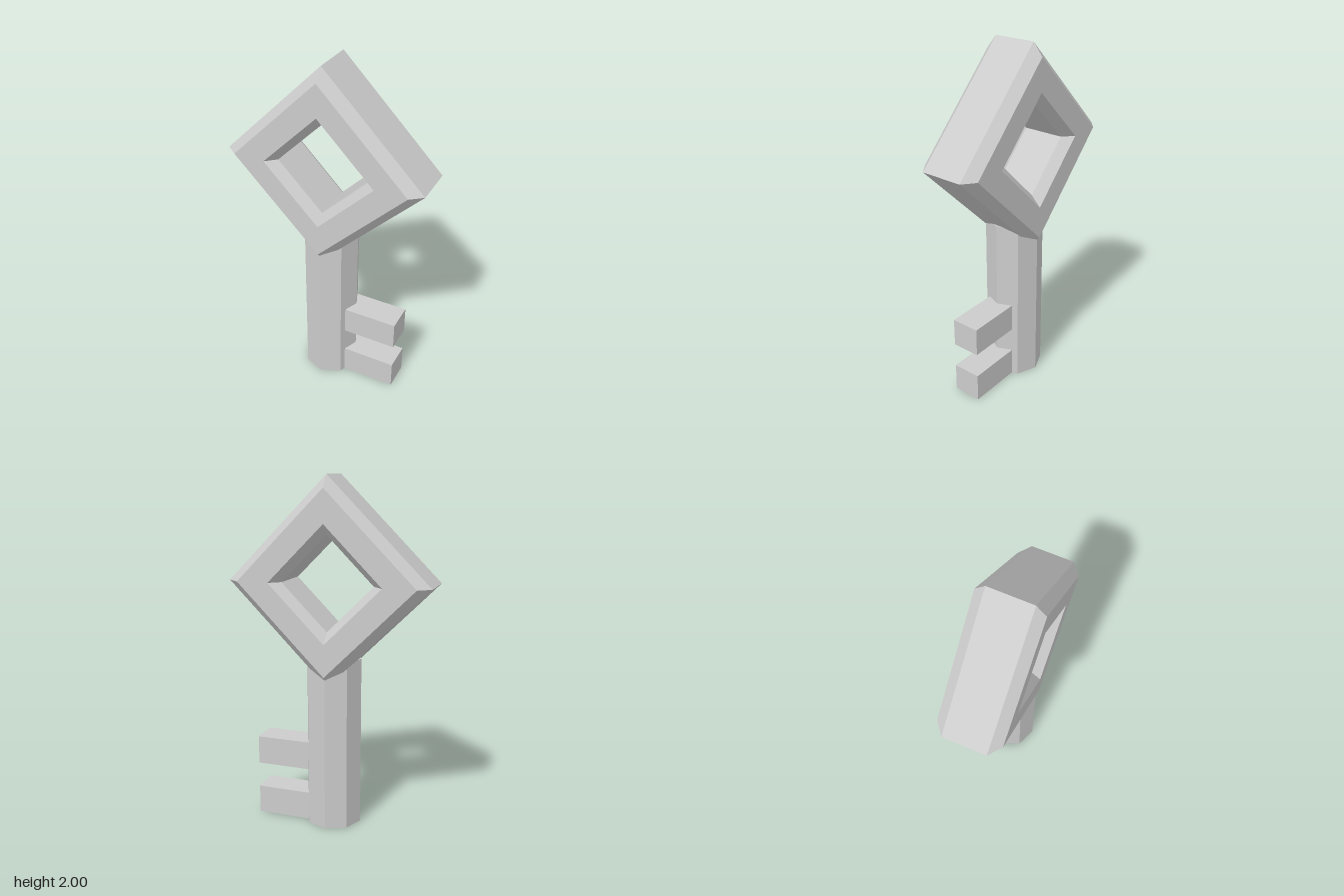
import * as THREE from 'three';

const material = new THREE.MeshStandardMaterial({ color: 0xcccccc, flatShading: true });

function addPart(parent, name, geometry, x, y, z) {
  const mesh = new THREE.Mesh(geometry, material);
  mesh.name = name;
  mesh.position.set(x, y, z);
  parent.add(mesh);
  return mesh;
}

export function createModel() {
  const key = new THREE.Group();
  key.name = 'key';

  // Diamond bow: bevelled closed profile swept around four corners
  const profile = [
    [0.58, -0.122], [0.58, 0.122], [0.51, 0.178], [0.325, 0.178],
    [0.265, 0.122], [0.265, -0.122], [0.325, -0.178], [0.51, -0.178], [0.58, -0.122],
  ].map(([r, h]) => new THREE.Vector2(r, h));
  const bow = new THREE.LatheGeometry(profile, 4);
  bow.rotateX(Math.PI / 2);
  addPart(key, 'bow', bow, 0, 1.42, 0);

  // Octagonal shaft, its top tucked into the bow
  const shaftHeight = 0.99;
  addPart(key, 'shaft', new THREE.CylinderGeometry(0.163, 0.163, shaftHeight, 8), 0, shaftHeight / 2, 0);

  // Two teeth on the left side, rooted inside the shaft
  const inner = 0.1, outer = 0.445, toothHeight = 0.166;
  [['lowerTooth', 0.003], ['upperTooth', 0.318]].forEach(([name, bottom]) => {
    const tooth = new THREE.BoxGeometry(outer - inner, toothHeight, 0.166);
    addPart(key, name, tooth, (inner + outer) / 2, bottom + toothHeight / 2, 0);
  });

  return key;
}
